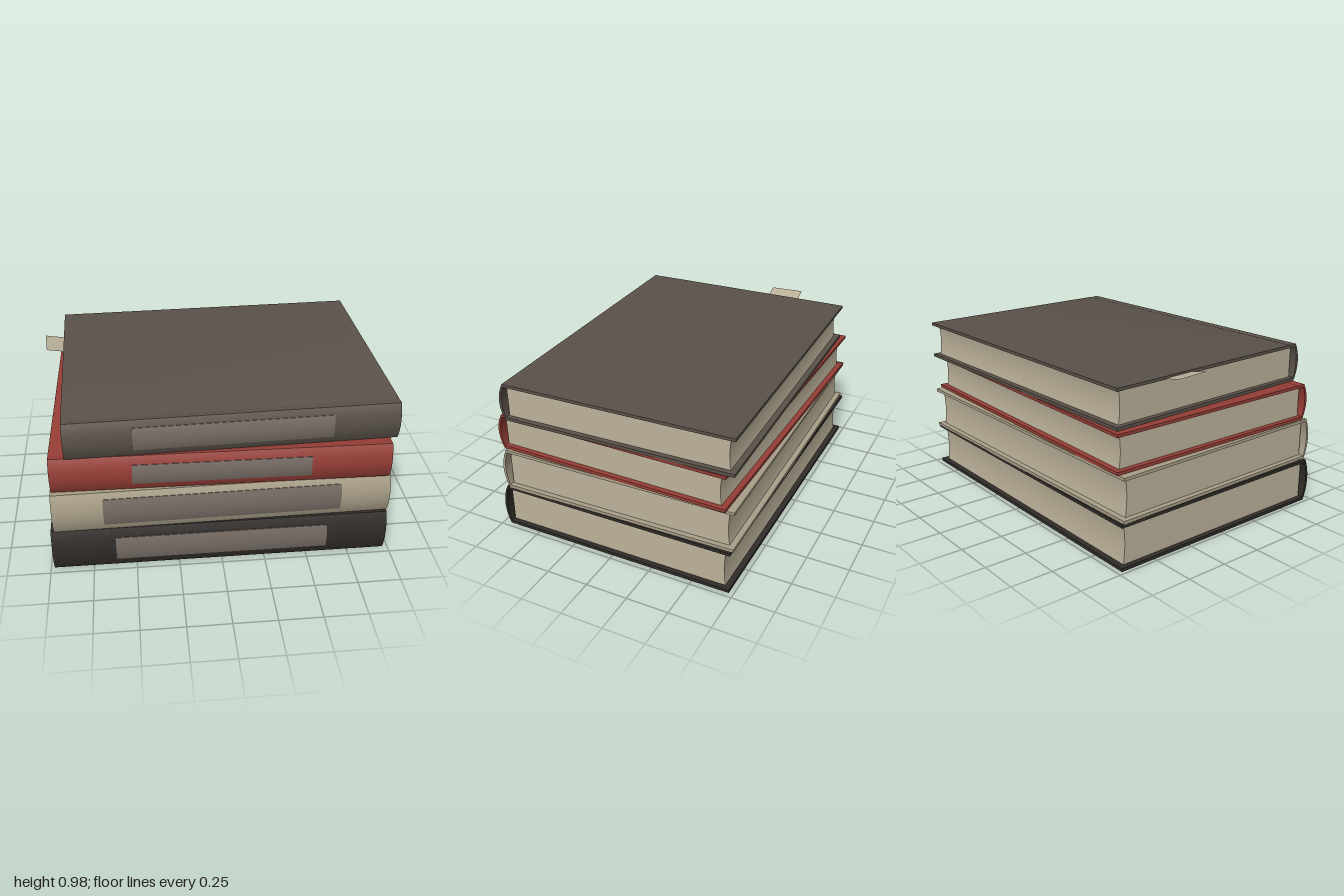
import * as THREE from 'three';
import { toCreasedNormals } from 'three/addons/utils/BufferGeometryUtils.js';

const BOARD = 0.018; // cover thickness
const OVERHANG = 0.03; // cover beyond the pages
const BULGE = 0.03; // roundness of the spine
const PAPER = 0xbdb39b;

// Extrudes a [z, y] outline along x, centred on x = 0
function extrudeAlongX(points, width) {
  const shape = new THREE.Shape(points.map(([z, y]) => new THREE.Vector2(z, y)));
  const g = new THREE.ExtrudeGeometry(shape, { depth: width, bevelEnabled: false });
  g.translate(0, 0, -width / 2).rotateY(-Math.PI / 2);
  return toCreasedNormals(g, 0.5);
}

// Shallow arc of [z, y] points from y0 to y1, on a curve spanning +-half around mid
function arc(z, bulge, y0, y1, mid, half, n = 12) {
  return Array.from({ length: n + 1 }, (_, i) => {
    const y = y0 + ((y1 - y0) * i) / n;
    const t = (y - mid) / half;
    return [z - bulge * t * t, y];
  });
}

function part(name, geometry, color) {
  const mesh = new THREE.Mesh(geometry, new THREE.MeshStandardMaterial({ color, side: THREE.DoubleSide }));
  mesh.name = name;
  return mesh;
}

function makeBook({ name, width, depth, height, color, label }) {
  const book = new THREE.Group();
  book.name = name;
  const front = depth / 2, back = -depth / 2, mid = height / 2;
  const hinge = front - 0.07, groove = 0.003;

  // Cover: two boards joined by a rounded, hollow spine
  const outer = arc(front, BULGE, 0, height, mid, mid);
  const inner = arc(front - 0.016, BULGE * 0.8, BOARD, height - BOARD, mid, mid).reverse();
  book.add(part('cover', extrudeAlongX([
    [back, 0], [hinge - 0.012, 0], [hinge, groove], [hinge + 0.012, 0],
    ...outer,
    [hinge + 0.012, height], [hinge, height - groove], [hinge - 0.012, height], [back, height],
    [back, height - BOARD], ...inner, [back, BOARD],
  ], width), color));

  // Page block with a hollowed fore edge
  const foreEdge = arc(back + OVERHANG + 0.012, 0.012, height - BOARD, BOARD, mid, mid);
  book.add(part('pages', extrudeAlongX([
    [front - 0.038, BOARD], [front - 0.038, height - BOARD], ...foreEdge,
  ], width - 2 * OVERHANG), PAPER));

  // Thin label wrapped onto the spine
  const [x0, x1, y0, y1] = label;
  const plate = part('spineLabel', extrudeAlongX([
    ...arc(front + 0.003, BULGE, y0, y1, mid, mid),
    ...arc(front - 0.004, BULGE, y1, y0, mid, mid),
  ], x1 - x0), 0x766c64);
  plate.position.x = (x0 + x1) / 2;
  book.add(plate);
  return book;
}

export function createModel() {
  const stack = new THREE.Group();
  stack.name = 'bookStack';
  const books = [
    { name: 'bottomBook', width: 1.95, depth: 1.455, height: 0.265, color: 0x302c29,
      x: -0.005, z: 0.005, turn: 0, label: [-0.61, 0.62, 0.055, 0.21] },
    { name: 'beigeBook', width: 1.935, depth: 1.445, height: 0.255, color: 0xaaa089,
      x: -0.003, z: 0, turn: 0.013, label: [-0.68, 0.68, 0.045, 0.217] },
    { name: 'redBook', width: 1.91, depth: 1.42, height: 0.22, color: 0x963e36,
      x: 0.01, z: 0.005, turn: -0.014, label: [-0.5, 0.5, 0.048, 0.172] },
    { name: 'topBook', width: 1.86, depth: 1.4, height: 0.225, color: 0x5a524a,
      x: 0.05, z: -0.012, turn: 0.024, label: [-0.555, 0.555, 0.045, 0.185] },
  ];
  let y = 0;
  for (const spec of books) {
    const book = makeBook(spec);
    book.position.set(spec.x, y, spec.z);
    book.rotation.y = spec.turn;
    stack.add(book);
    y += spec.height;
  }

  // Bookmark: thin slip curling up out of the top book
  const slip = new THREE.PlaneGeometry(0.25, 0.2, 8, 1).rotateX(-Math.PI / 2);
  const p = slip.attributes.position;
  for (let i = 0; i < p.count; i++) {
    const out = Math.max(0, 0.02 - p.getX(i)); // distance past the page edge
    p.setY(i, out * 0.2);
  }
  slip.computeVertexNormals();
  const bookmark = part('bookmark', slip, PAPER);
  bookmark.position.set(-0.867, y - BOARD - 0.001, -0.28);
  bookmark.rotation.y = 0.09;
  stack.add(bookmark);
  return stack;
}
